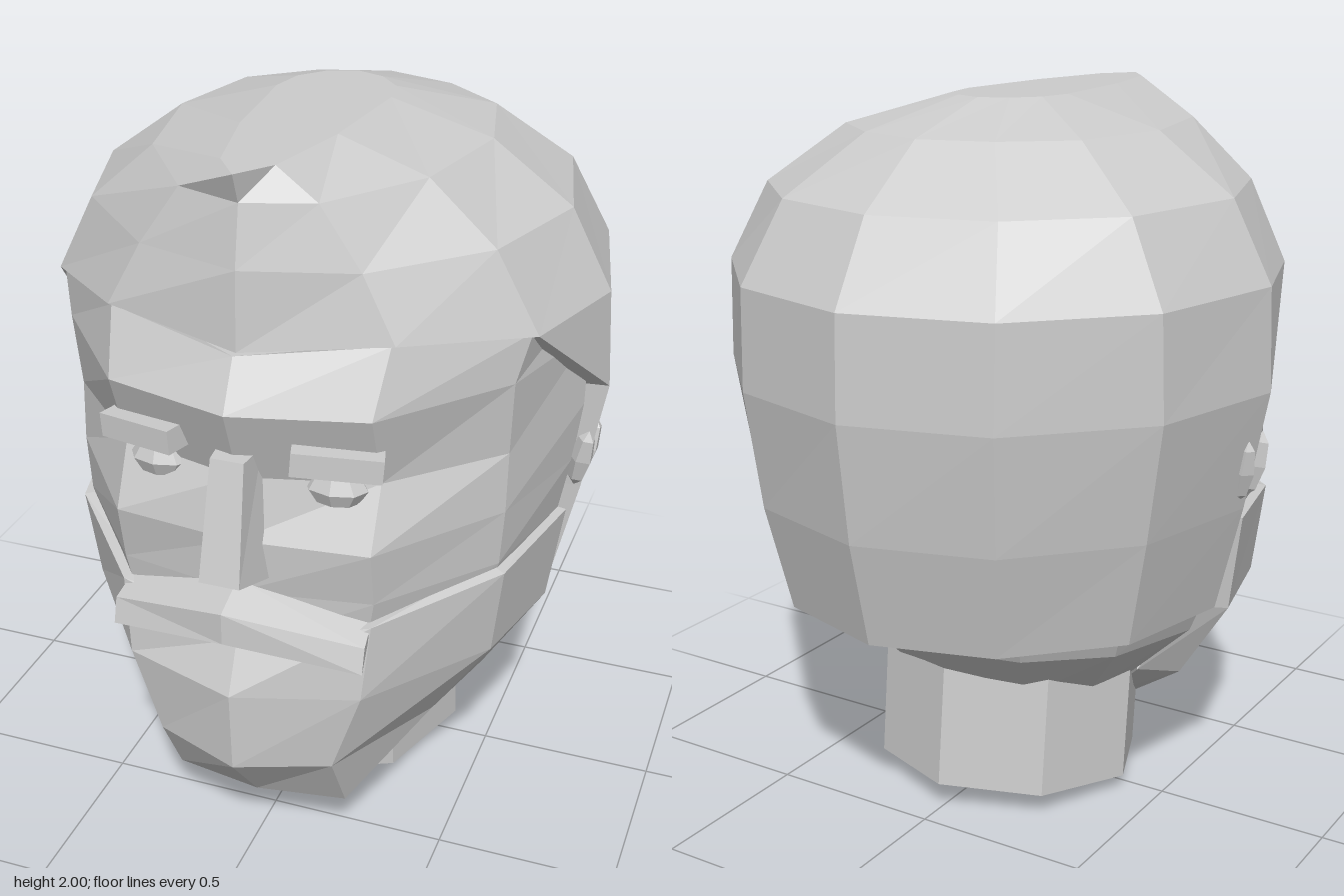
import * as THREE from 'three';

const stone = new THREE.MeshStandardMaterial({ color: 0xcccccc, flatShading: true, side: THREE.DoubleSide });
stone.name = 'light grey';

function mesh(name, geometry) {
  const m = new THREE.Mesh(geometry, stone);
  m.name = name;
  return m;
}

// Skin rows of [x, y, z] points, rows running along the part, points turning counter-clockwise
function skin(rows, closed = false, capStart = false, capEnd = false) {
  const pos = [];
  const tri = (...pts) => pts.forEach((p) => pos.push(...p));
  const n = rows[0].length;
  for (let i = 0; i + 1 < rows.length; i++) {
    for (let k = 0; k < (closed ? n : n - 1); k++) {
      const a = rows[i][k], b = rows[i][(k + 1) % n];
      const c = rows[i + 1][(k + 1) % n], d = rows[i + 1][k];
      tri(a, b, c);
      tri(a, c, d);
    }
  }
  const fan = (row, flip) => {
    for (let k = 1; k + 1 < n; k++) flip ? tri(row[0], row[k + 1], row[k]) : tri(row[0], row[k], row[k + 1]);
  };
  if (capStart) fan(rows[0], true);
  if (capEnd) fan(rows[rows.length - 1], false);
  const g = new THREE.BufferGeometry();
  g.setAttribute('position', new THREE.Float32BufferAttribute(pos, 3));
  g.computeVertexNormals();
  return g;
}

const flip = ([x, y, z]) => [-x, y, z];
// Half ring given as [x, z] or [x, z, y] from front to back, on the left side
const half = (y, pts) => pts.map(([x, z, own]) => [x, own ?? y, z]);
const fullRing = (h) => [...h, ...h.slice(1, -1).reverse().map(flip)];
const frontArc = (h) => [...h.slice(1).reverse().map(flip), ...h];
const backArc = (h) => [...h, ...h.slice(0, -1).reverse().map(flip)];

function makeSkull() {
  const rows = [
    half(0.33, [[0, 0.45], [0.2, 0.4], [0.3, 0.25], [0.36, 0.02], [0.32, -0.12], [0.18, -0.25], [0, -0.3]]),
    half(0.52, [[0, 0.65], [0.28, 0.6], [0.5, 0.33], [0.56, 0.02], [0.47, -0.25], [0.27, -0.42], [0, -0.48]]),
    half(0.7, [[0, 0.72], [0.32, 0.65], [0.56, 0.35], [0.64, 0.02], [0.53, -0.3], [0.3, -0.5], [0, -0.57]]),
    half(0.88, [[0, 0.73], [0.35, 0.67], [0.6, 0.37], [0.68, 0.03], [0.56, -0.33], [0.32, -0.56], [0, -0.64]]),
    half(1.04, [[0, 0.74], [0.35, 0.7], [0.61, 0.37], [0.71, 0.03], [0.58, -0.35], [0.33, -0.6], [0, -0.68]]),
    half(1.21, [[0, 0.71], [0.35, 0.62], [0.61, 0.36], [0.73, 0.02], [0.6, -0.36], [0.34, -0.62], [0, -0.7]]),
    half(1.42, [[0, 0.79], [0.35, 0.7], [0.62, 0.38], [0.73, 0.01], [0.6, -0.36], [0.34, -0.62], [0, -0.7]]),
    half(1.55, [[0, 0.72], [0.37, 0.62, 1.59], [0.65, 0.34], [0.72, 0], [0.6, -0.36], [0.34, -0.62], [0, -0.7]]),
  ].map(fullRing);
  return mesh('faceAndSkull', skin(rows, true, true, true));
}

function makeHair() {
  const hair = new THREE.Group();
  hair.name = 'hair';
  // Crown with its pointed front tip
  const crown = [
    half(1.54, [[0, 0.7, 1.55], [0.38, 0.62, 1.59], [0.665, 0.34], [0.775, 0], [0.68, -0.43], [0.39, -0.73], [0, -0.84]]),
    half(1.76, [[0, 0.69], [0.29, 0.605], [0.55, 0.35], [0.66, 0], [0.57, -0.39], [0.33, -0.62], [0, -0.71]]),
    half(1.92, [[0, 0.66], [0.18, 0.6], [0.37, 0.34], [0.44, 0], [0.37, -0.29], [0.2, -0.43], [0, -0.49]]),
    half(2, [[0, 0.69], [0.07, 0.595], [0.13, 0.33], [0.16, 0], [0.14, -0.1], [0.08, -0.17], [0, -0.2]]),
  ];
  hair.add(mesh('crown', skin(crown.map(fullRing), true, false, true)));
  // Back and sides, with a lip turned in below
  const sides = [
    half(0.63, [[0.6, -0.02], [0.5, -0.26], [0.28, -0.46], [0, -0.53]]),
    half(0.63, [[0.66, -0.03], [0.58, -0.38], [0.33, -0.64], [0, -0.74]]),
    half(0.93, [[0.73, -0.02], [0.64, -0.41], [0.37, -0.7], [0, -0.81]]),
    half(1.26, [[0.79, -0.01], [0.69, -0.43], [0.39, -0.74], [0, -0.85]]),
    crown[0].slice(3),
  ];
  hair.add(mesh('backAndSides', skin(sides.map(backArc))));
  // Front edges and slanted temples
  const temple = [[0.79, 1.26, -0.01], [0.775, 1.54, 0], [0.665, 1.54, 0.34]];
  const inner = [[0.6, 0.63, -0.02], [0.66, 0.93, -0.02], [0.7, 1.26, 0], [0.62, 1.52, 0.32]];
  const outer = [[0.66, 0.63, -0.03], [0.73, 0.93, -0.02], [0.79, 1.26, -0.01], [0.665, 1.54, 0.34]];
  for (const side of [1, -1]) {
    const own = (row) => (side > 0 ? row : row.map(flip));
    const tri = side > 0 ? [...temple].reverse() : temple.map(flip);
    hair.add(mesh('temple', skin([[tri[0], tri[2]], [tri[1], tri[1]]])));
    const edge = [own(inner), own(outer)];
    hair.add(mesh('sideEdge', skin(side > 0 ? edge.reverse() : edge)));
  }
  return hair;
}

function makeBeard() {
  const rows = [
    half(0.16, [[0, 0.64], [0.25, 0.6], [0.25, 0.4], [0.26, 0.26], [0.2, 0.2]]),
    half(0.36, [[0, 0.805], [0.25, 0.71], [0.43, 0.37], [0.5, 0.09, 0.35], [0.4, 0.02]]),
    half(0.6, [[0, 0.815], [0.33, 0.71], [0.59, 0.37], [0.665, 0.05], [0.55, 0]]),
    half(0.82, [[0, 0.75, 0.74], [0.35, 0.69], [0.62, 0.385, 0.86], [0.705, 0.035, 0.88], [0.58, 0, 0.88]]),
    half(0.82, [[0, 0.68, 0.76], [0.33, 0.63], [0.57, 0.36, 0.87], [0.64, 0.03, 0.88], [0.58, 0, 0.88]]),
  ];
  return mesh('beardedJaw', skin(rows.map(frontArc), false, true));
}

function makeMoustache() {
  const tip = [[0.34, 0.82, 0.65], [0.35, 0.79, 0.74], [0.35, 0.72, 0.76], [0.32, 0.69, 0.69]];
  const middle = [[0, 0.92, 0.73], [0, 0.88, 0.845], [0, 0.79, 0.845], [0, 0.73, 0.74]];
  return mesh('moustache', skin([tip.map(flip), middle, tip], true, true, true));
}

function makeNose() {
  const base = [[-0.055, 0.97, 0.85], [0.055, 0.97, 0.85], [0.09, 0.93, 0.7], [-0.09, 0.93, 0.7]];
  const bridge = [[-0.045, 1.29, 0.775], [0.045, 1.29, 0.775], [0.055, 1.29, 0.68], [-0.055, 1.29, 0.68]];
  return mesh('nose', skin([base, bridge], true, true, true));
}

export function createModel() {
  const model = new THREE.Group();
  model.name = 'head';
  model.add(makeSkull(), makeHair(), makeBeard(), makeMoustache(), makeNose());

  for (const s of [1, -1]) {
    const brow = mesh('eyebrow', new THREE.BoxGeometry(0.23, 0.065, 0.11));
    brow.position.set(0.255 * s, 1.295, 0.68);
    brow.rotation.set(0, 0.3 * s, -0.08 * s);

    const eye = mesh('eye', new THREE.SphereGeometry(1, 8, 4));
    eye.scale.set(0.085, 0.055, 0.055);
    eye.position.set(0.24 * s, 1.195, 0.645);
    model.add(brow, eye);

    // Each ear is a pair of slim folds
    const ear = new THREE.Group();
    ear.name = 'ear';
    for (const [z, tilt] of [[0.025, 0.12], [-0.05, -0.1]]) {
      const fold = mesh('earFold', new THREE.SphereGeometry(1, 5, 4));
      fold.scale.set(0.035, 0.095, 0.028);
      fold.position.set(0.735 * s, 1.045, z);
      fold.rotation.set(tilt, 0, -0.2 * s);
      ear.add(fold);
    }
    model.add(ear);
  }

  // Neck leans slightly forward
  const neck = mesh('neck', new THREE.CylinderGeometry(0.39, 0.39, 0.44, 8).translate(0, 0.22, 0));
  neck.position.set(0, 0.04, -0.04);
  neck.rotation.x = 0.1;
  model.add(neck);
  return model;
}
